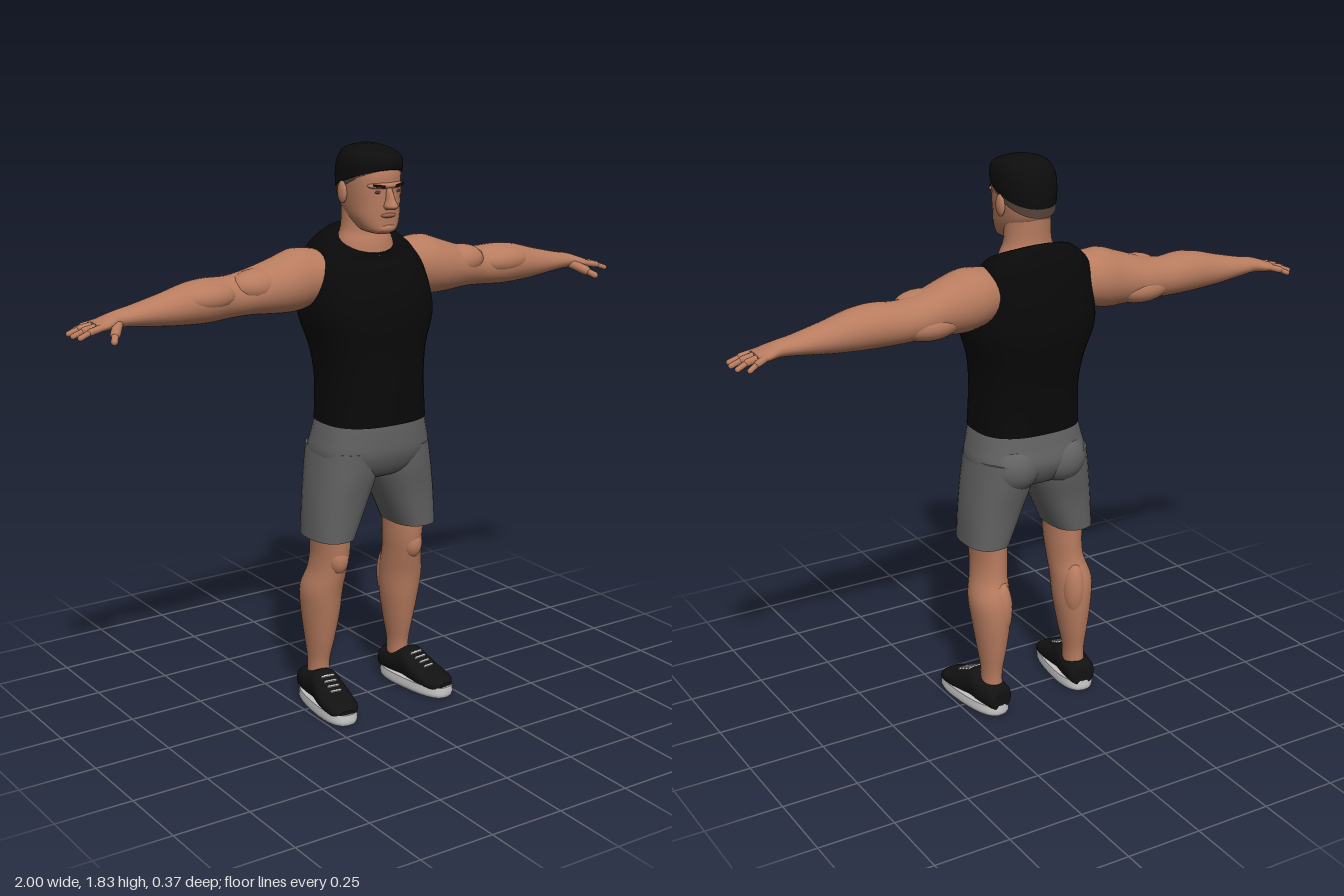
import * as THREE from 'three';

const flat = (name, color) => {
  const m = new THREE.MeshStandardMaterial({ color });
  m.name = name;
  return m;
};

// Skin of elliptical rings [t, cu, cv, ru, rv, power, tilt] along an axis.
// (u, v) is (x, z) along y, (z, y) along x and (y, x) along z.
function loft(axis, rings, n = 28, sub = 4) {
  const full = rings.map(r => [r[0], r[1], r[2], r[3], r[4], r[5] ?? 2, r[6] ?? 0]);
  const at = i => full[Math.min(Math.max(i, 0), full.length - 1)];
  const rows = [];
  for (let i = 0; i < full.length - 1; i++) {
    for (let k = 0; k < sub; k++) {
      const f = k / sub;
      rows.push(at(i).map((b, j) => {
        const a = at(i - 1)[j], c = at(i + 1)[j], d = at(i + 2)[j];
        return b + 0.5 * f * (c - a + f * (2 * a - 5 * b + 4 * c - d + f * (3 * (b - c) + d - a)));
      }));
    }
  }
  rows.push(at(full.length - 1));
  const pos = [], idx = [];
  const put = (t, u, v) => pos.push(...(axis === 'y' ? [u, t, v] : axis === 'x' ? [t, v, u] : [v, u, t]));
  const ring = ([t, cu, cv, ru, rv, p, tilt]) => {
    for (let i = 0; i < n; i++) {
      const a = i / n * Math.PI * 2, c = Math.cos(a), s = Math.sin(a);
      const v = rv * Math.sign(s) * Math.abs(s) ** (2 / p);
      put(t + tilt * v, cu + ru * Math.sign(c) * Math.abs(c) ** (2 / p), cv + v);
    }
  };
  rows.forEach(ring);
  for (let r = 0; r < rows.length - 1; r++) {
    for (let i = 0; i < n; i++) {
      const a = r * n + i, b = r * n + (i + 1) % n;
      idx.push(a, a + n, b, b, a + n, b + n);
    }
  }
  // end caps with their own corners, so the rims stay sharp
  [rows[0], rows[rows.length - 1]].forEach((row, end) => {
    const base = pos.length / 3;
    ring(row);
    put(row[0], row[1], row[2]);
    for (let i = 0; i < n; i++) {
      const a = base + i, b = base + (i + 1) % n;
      idx.push(base + n, ...(end ? [b, a] : [a, b]));
    }
  });
  const g = new THREE.BufferGeometry();
  g.setAttribute('position', new THREE.Float32BufferAttribute(pos, 3));
  g.setIndex(idx);
  g.computeVertexNormals();
  return g;
}

const blob = (x, y, z, rx, ry, rz) =>
  new THREE.SphereGeometry(1, 20, 14).scale(rx, ry, rz).translate(x, y, z);

// Rounded finger segment between two points
function segment(a, b, r) {
  const p = new THREE.Vector3(...a), q = new THREE.Vector3(...b), d = q.clone().sub(p);
  const g = new THREE.CapsuleGeometry(r, d.length(), 4, 10);
  g.applyQuaternion(new THREE.Quaternion().setFromUnitVectors(new THREE.Vector3(0, 1, 0), d.normalize()));
  const m = p.add(q).multiplyScalar(0.5);
  return g.translate(m.x, m.y, m.z);
}

function mirrorX(geo) {
  const g = geo.clone().scale(-1, 1, 1), ix = g.index;
  for (let i = 0; i < ix.count; i += 3) {
    const a = ix.getX(i);
    ix.setX(i, ix.getX(i + 1));
    ix.setX(i + 1, a);
  }
  return g;
}

export function createModel() {
  const model = new THREE.Group();
  model.name = 'athlete';
  const skin = flat('skin', 0xb87c5f), lip = flat('lips', 0x96604c), fade = flat('shaved hair', 0x55423a);
  const hair = flat('hair', 0x0d0d0d), black = flat('vest black', 0x090909), grey = flat('shorts grey', 0x626262);
  const shoe = flat('shoe black', 0x121212), white = flat('sole white', 0xc4c4c4);

  const add = (name, geo, mat) => {
    const m = new THREE.Mesh(geo, mat);
    m.name = name;
    model.add(m);
  };
  const pair = (name, geo, mat) => {
    add(name + 'Left', geo, mat);
    add(name + 'Right', mirrorX(geo), mat);
  };

  // Vest and neck
  add('vest', loft('y', [
    [0.965, 0, 0.01, 0.176, 0.145, 2.6], [1.1, 0, 0.006, 0.169, 0.15, 2.6], [1.2, 0, -0.004, 0.18, 0.16, 2.6],
    [1.3, 0, -0.013, 0.212, 0.171, 2.6], [1.38, 0, -0.02, 0.208, 0.16, 2.6], [1.45, 0, -0.035, 0.197, 0.135, 2.6],
    [1.5, 0, -0.042, 0.18, 0.112, 2.4, -0.2], [1.535, 0, -0.03, 0.135, 0.095, 2.1, -0.4],
    [1.537, 0, -0.02, 0.098, 0.086, 2, -0.45]], 40), black);
  add('neck', loft('y', [
    [1.47, 0, -0.02, 0.105, 0.088], [1.53, 0, -0.02, 0.093, 0.08], [1.575, 0, -0.02, 0.076, 0.07],
    [1.67, 0, -0.015, 0.071, 0.08]]), skin);

  // Head
  add('head', loft('y', [
    [1.563, 0, 0.07, 0.03, 0.035], [1.575, 0, 0.055, 0.054, 0.06, 2.3], [1.61, 0, 0.031, 0.073, 0.086, 2.3],
    [1.65, 0, 0.011, 0.081, 0.107, 2.3], [1.7, 0, 0.006, 0.086, 0.112, 2.3], [1.75, 0, 0.004, 0.087, 0.113, 2.2],
    [1.79, 0, 0, 0.075, 0.097], [1.805, 0, 0, 0.045, 0.06]], 32), skin);
  add('shavedSides', loft('y', [
    [1.708, 0, 0.004, 0.0885, 0.115, 2.2, 0.46], [1.74, 0, 0.004, 0.088, 0.113, 2.2, 0.3]], 32), fade);
  add('hair', loft('y', [
    [1.722, 0, 0.005, 0.091, 0.118, 2.2, 0.33], [1.755, 0, 0.006, 0.093, 0.12, 2.2, 0.22],
    [1.79, 0, 0.006, 0.087, 0.112, 2.2, 0.1], [1.815, 0, 0.002, 0.067, 0.085], [1.83, 0, 0, 0.025, 0.03]], 32), hair);
  add('nose', loft('y', [
    [1.64, 0, 0.122, 0.014, 0.018], [1.65, 0, 0.125, 0.021, 0.03], [1.672, 0, 0.118, 0.013, 0.026],
    [1.708, 0, 0.108, 0.011, 0.014]], 16), skin);
  add('browRidge', blob(0, 1.712, 0.098, 0.066, 0.013, 0.029), skin);
  add('chin', blob(0, 1.581, 0.098, 0.034, 0.018, 0.023), skin);
  add('lips', blob(0, 1.621, 0.112, 0.028, 0.008, 0.012), lip);
  pair('eyebrow', new THREE.BoxGeometry(0.038, 0.007, 0.008).rotateZ(0.12).rotateY(0.3).translate(0.037, 1.713, 0.118), hair);
  pair('eye', blob(0.034, 1.693, 0.108, 0.012, 0.005, 0.006), fade);
  pair('ear', blob(0.089, 1.685, -0.008, 0.011, 0.035, 0.022), skin);

  // Arms, wide at the shoulder and forearm
  pair('arm', loft('x', [
    [0.15, -0.045, 1.428, 0.083, 0.08], [0.2, -0.052, 1.426, 0.092, 0.091], [0.25, -0.051, 1.421, 0.094, 0.097],
    [0.31, -0.05, 1.411, 0.089, 0.087], [0.4, -0.06, 1.399, 0.08, 0.07], [0.47, -0.062, 1.392, 0.069, 0.065],
    [0.55, -0.052, 1.392, 0.073, 0.068], [0.62, -0.05, 1.389, 0.068, 0.063], [0.7, -0.05, 1.381, 0.057, 0.049],
    [0.8, -0.05, 1.375, 0.044, 0.031], [0.85, -0.048, 1.372, 0.036, 0.025], [0.89, -0.046, 1.364, 0.047, 0.02],
    [0.925, -0.046, 1.357, 0.045, 0.014]]), skin);
  pair('biceps', blob(0.385, 1.422, -0.035, 0.09, 0.052, 0.06), skin);
  pair('triceps', blob(0.38, 1.375, -0.085, 0.1, 0.048, 0.06), skin);
  pair('forearmMuscle', blob(0.56, 1.405, -0.025, 0.1, 0.045, 0.052), skin);

  // Hands: [root z, middle x, middle z, tip x, tip z]
  const fingers = [[-0.08, 0.935, -0.094, 0.962, -0.103], [-0.058, 0.955, -0.068, 0.988, -0.075],
    [-0.034, 0.957, -0.036, 0.992, -0.036], [-0.012, 0.95, -0.006, 0.985, -0.002]];
  fingers.forEach(([z, mx, mz, tx, tz], i) => {
    pair('fingerBase' + (i + 1), segment([0.9, 1.363, z], [mx, 1.353, mz], 0.011), skin);
    pair('fingerTip' + (i + 1), segment([mx, 1.353, mz], [tx, 1.34, tz], 0.0085), skin);
  });
  pair('thumbBase', segment([0.855, 1.362, -0.025], [0.885, 1.342, 0.018], 0.016), skin);
  pair('thumbTip', segment([0.885, 1.342, 0.018], [0.902, 1.328, 0.046], 0.011), skin);

  // Shorts
  add('shortsHips', loft('y', [
    [0.775, 0, 0, 0.06, 0.07], [0.8, 0, 0, 0.165, 0.118, 2.3], [0.86, 0, 0, 0.198, 0.148, 2.5],
    [0.92, 0, 0.006, 0.188, 0.146, 2.5], [0.975, 0, 0.01, 0.172, 0.14, 2.6]], 36), grey);
  pair('shortsLeg', loft('y', [
    [0.59, 0.157, 0, 0.072, 0.106, 2.4], [0.7, 0.13, 0, 0.093, 0.115, 2.4], [0.8, 0.106, -0.002, 0.104, 0.132, 2.3],
    [0.88, 0.1, -0.004, 0.096, 0.14, 2.2]]), grey);
  pair('buttock', blob(0.085, 0.855, -0.085, 0.085, 0.08, 0.07), grey);

  // Lower legs
  pair('lowerLeg', loft('y', [
    [0.08, 0.16, -0.055, 0.034, 0.046], [0.14, 0.159, -0.055, 0.033, 0.045], [0.22, 0.157, -0.052, 0.045, 0.062],
    [0.32, 0.156, -0.047, 0.06, 0.078], [0.4, 0.157, -0.038, 0.065, 0.083], [0.47, 0.147, -0.018, 0.057, 0.08],
    [0.54, 0.142, -0.008, 0.056, 0.085], [0.63, 0.146, -0.005, 0.06, 0.088]]), skin);
  pair('kneecap', blob(0.145, 0.515, 0.045, 0.034, 0.05, 0.035), skin);
  pair('calf', blob(0.14, 0.37, -0.083, 0.038, 0.1, 0.045), skin);

  // Shoes, toes turned outwards
  const place = g => g.rotateY(0.12).translate(0.174, 0, 0);
  pair('sole', place(loft('y', [
    [0, 0, 0.029, 0.058, 0.154, 2.6], [0.012, 0, 0.029, 0.063, 0.158, 2.6], [0.036, 0, 0.029, 0.06, 0.155, 2.6]])), white);
  const upper = [[-0.124, 0.085, 0.03], [-0.11, 0.1, 0.046], [-0.05, 0.108, 0.051], [0, 0.126, 0.05],
    [0.04, 0.106, 0.055], [0.1, 0.078, 0.058], [0.15, 0.064, 0.05], [0.176, 0.048, 0.026]];
  pair('shoeUpper', place(loft('z', upper.map(([z, top, r]) => [z, (top + 0.02) / 2, 0, (top - 0.02) / 2, r, 2.4]))), shoe);
  for (let i = 0; i < 4; i++) {
    const z = 0.03 + i * 0.02;
    pair('lace' + (i + 1), place(new THREE.BoxGeometry(0.046 - i * 0.003, 0.008, 0.007)
      .rotateX(0.45).translate(0, 0.112 - i * 0.0095, z)), white);
  }
  return model;
}
